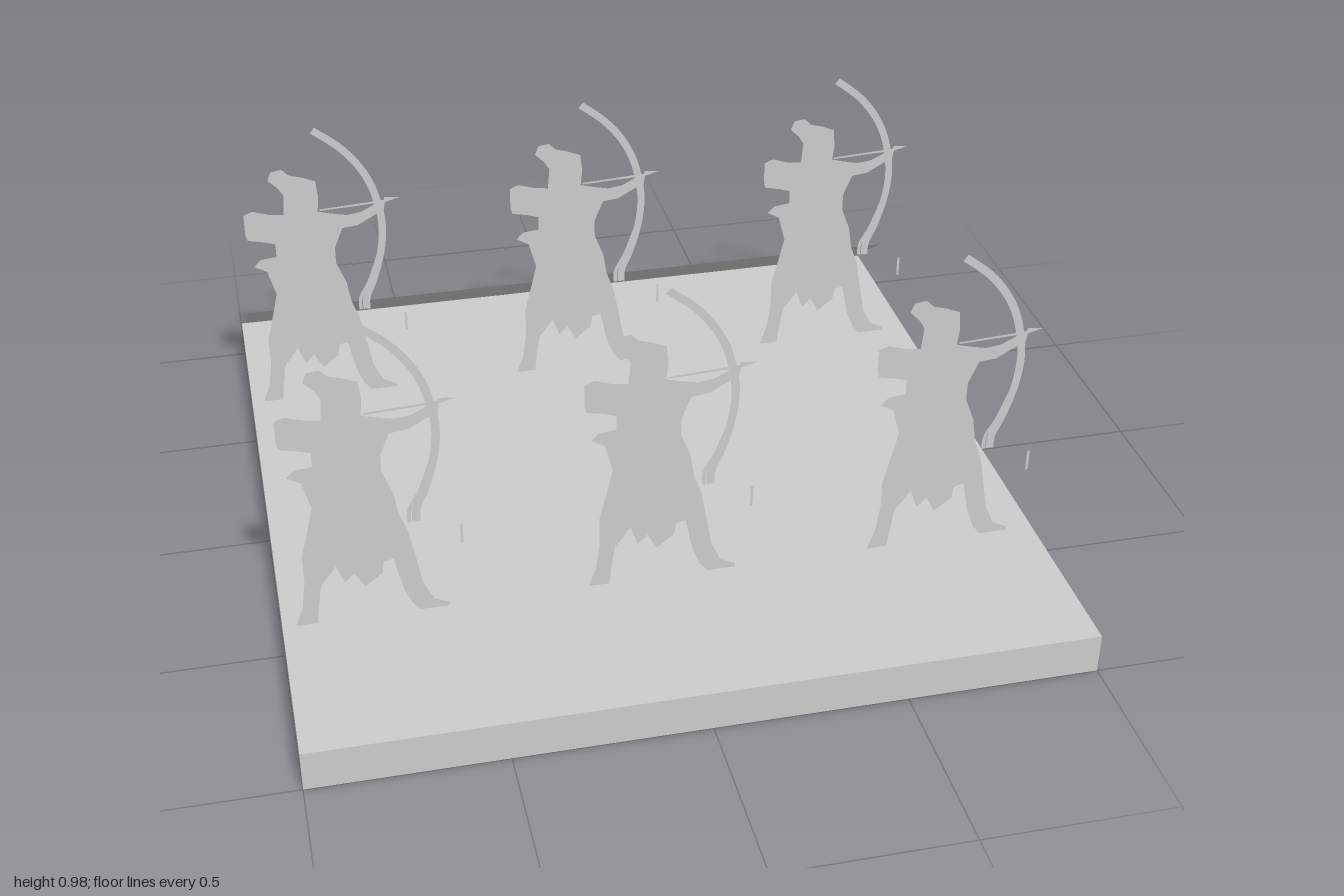
import * as THREE from 'three';

const stone = new THREE.MeshStandardMaterial({ color: 0xcccccc, side: THREE.DoubleSide });
stone.name = 'pale grey';

// Outlines in hundredths of a unit: x across, y up
const BODY = [
  -14.5, 83, -13.5, 85.5, -10.5, 86, -8.5, 84, -5, 83, -1.5, 81.5, -1, 76.5, -1.5, 72, // head
  2, 71, 6.5, 70, 10.5, 70.5, 14.5, 72.5, 17.5, 73.5, 17, 70.5, 14, 69, 9.5, 66.5, 5, 66, // bow arm
  2.5, 60, 2.5, 55, 5, 48.5, 6, 42, 8, 36.5, 9.5, 28.5, // chest and skirt
  11, 20, 13.5, 14.5, 17.5, 12.5, 17.5, 11.5, 10, 11.5, 8, 14, 6, 19, 4, 28.5, // front leg
  1.5, 28, 1, 24.5, -1, 23, -3.5, 21, -6, 25.5, -8.5, 23, -10.5, 28.5, -12.5, 25.5, // ragged hem
  -14.5, 23, -15.5, 16.5, -16, 11.5, -21.5, 11.5, -19.5, 17, -18.5, 24.5, -18.5, 32.5, // rear leg
  -16.5, 40.5, -15, 47, -17, 54.5, -20.5, 56.5, -18.5, 58.5, -14, 59, -14, 63, // quiver
  -17, 64, -21.5, 65, -22, 67, -22, 73, -19.5, 74, -15, 72.5, -11, 72, -10.5, 78, -12, 80.5, // drawing arm
];
const ARROW = [-1, 72.6, 17, 73.6, 17.3, 74.4, 21.5, 74, 17.6, 72.9, -1, 72.1];
const LOOSE_TIP = [21, 36.5, 21.7, 36.5, 21.7, 30.5, 21, 30.5];

// Bow limb centreline
const BOW = [-1.2, 97, 6, 91, 11.3, 84, 14.5, 76.5, 16.2, 67, 15.5, 58, 13, 49, 10.5, 43, 10.3, 39];
const STRING = [15, 57.5, 11.7, 48.5, 8.8, 43, 8.6, 39];

const pairs = (list) => {
  const out = [];
  for (let i = 0; i < list.length; i += 2) out.push(new THREE.Vector2(list[i] / 100, list[i + 1] / 100));
  return out;
};

const plate = (points) => new THREE.ShapeGeometry(new THREE.Shape(points));

// Flat ribbon of even width following a smooth centreline
function ribbon(list, width) {
  const curve = new THREE.SplineCurve(pairs(list));
  const near = [], far = [];
  for (let i = 0; i <= 28; i++) {
    const p = curve.getPoint(i / 28), t = curve.getTangent(i / 28);
    const side = new THREE.Vector2(-t.y, t.x).multiplyScalar(width / 2);
    near.push(p.clone().add(side));
    far.unshift(p.clone().sub(side));
  }
  return plate([...near, ...far]);
}

function addMesh(parent, name, geometry) {
  const mesh = new THREE.Mesh(geometry, stone);
  mesh.name = name;
  parent.add(mesh);
  return mesh;
}

export function createModel() {
  const model = new THREE.Group();
  model.name = 'archerBoard';

  // Square base slab
  addMesh(model, 'base', new THREE.BoxGeometry(2, 0.11, 2)).position.y = 0.055;

  // Sloping sheet along the back edge
  const low = new THREE.Vector2(-0.99, 0.117), high = new THREE.Vector2(-0.75, 0.29);
  const rise = high.clone().sub(low);
  const slope = addMesh(model, 'backSlope', new THREE.PlaneGeometry(1.963, rise.length()));
  slope.rotation.set(-Math.PI / 2 - rise.angle(), 0, 0);
  // turn the sheet so it climbs towards the front
  slope.rotation.x = Math.PI / 2 - rise.angle();
  slope.rotation.y = Math.PI;
  slope.rotation.order = 'XYZ';
  slope.position.set(0, (low.y + high.y) / 2, (low.x + high.x) / 2);

  // Two rows of three flat archers
  const parts = {
    body: plate(pairs(BODY)),
    bow: ribbon(BOW, 0.021),
    bowString: ribbon(STRING, 0.01),
    arrow: plate(pairs(ARROW)),
    looseTip: plate(pairs(LOOSE_TIP)),
  };
  for (const z of [0.53, -0.53]) {
    for (const x of [-0.75, 0, 0.75]) {
      const archer = new THREE.Group();
      archer.name = 'archer';
      for (const [name, geometry] of Object.entries(parts)) addMesh(archer, name, geometry);
      archer.position.set(x, 0, z);
      model.add(archer);
    }
  }
  return model;
}
